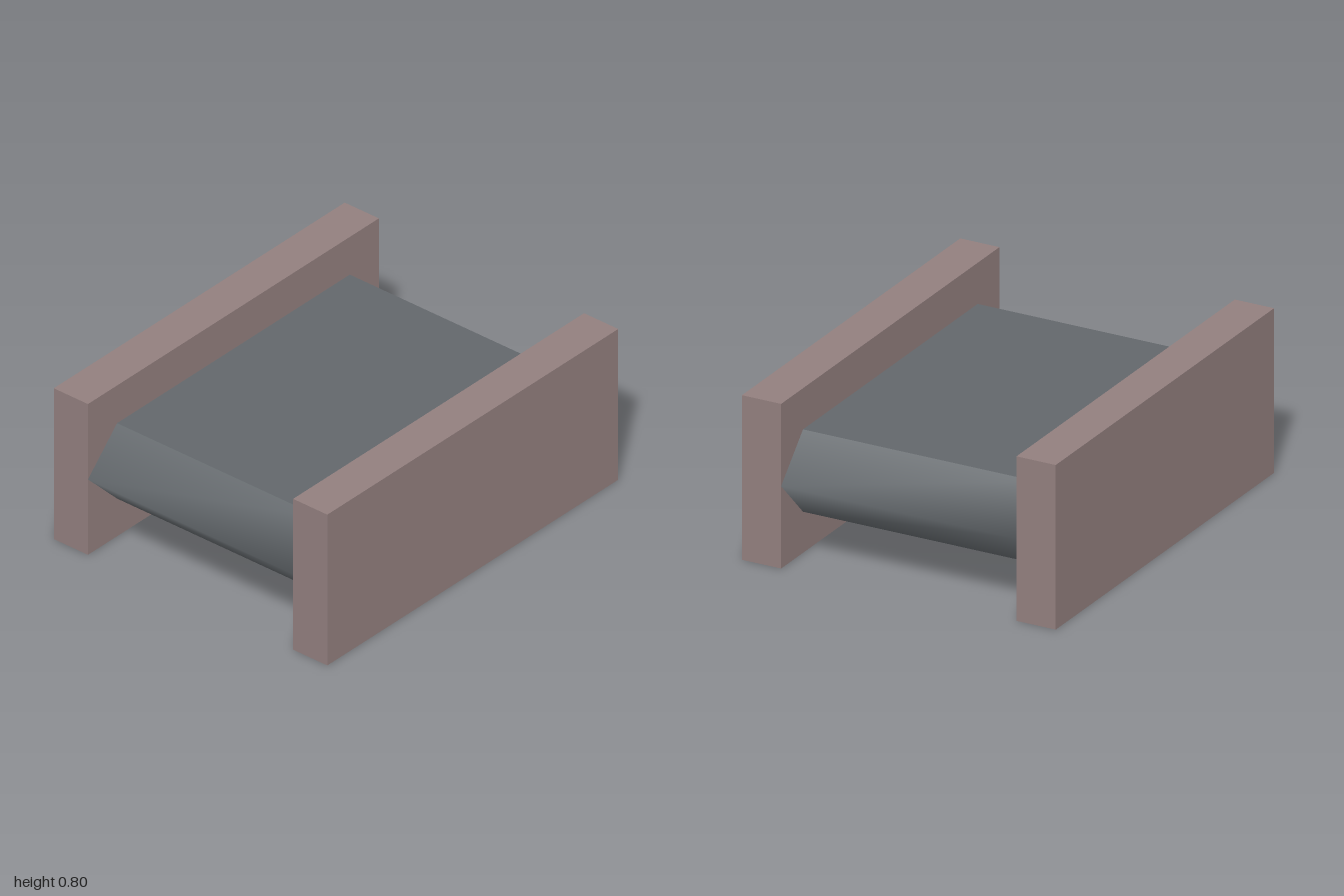
import * as THREE from 'three';

const slate = new THREE.MeshStandardMaterial({ color: 0x62676b });
slate.name = 'slate grey';
const mauve = new THREE.MeshStandardMaterial({ color: 0x927f7e });
mauve.name = 'dusty mauve';

function box(name, material, size, position) {
  const mesh = new THREE.Mesh(new THREE.BoxGeometry(...size), material);
  mesh.position.set(...position);
  mesh.name = name;
  return mesh;
}

// Pointed end of the slab: two slopes meeting at a softly shaded ridge
function noseGeometry(halfWidth, halfHeight, depth) {
  const positions = [];
  for (const [y, z] of [[halfHeight, 0], [0, depth], [-halfHeight, 0]]) {
    positions.push(-halfWidth, y, z, halfWidth, y, z);
  }
  const geometry = new THREE.BufferGeometry();
  geometry.setAttribute('position', new THREE.Float32BufferAttribute(positions, 3));
  const index = [];
  for (const a of [0, 2]) index.push(a, a + 2, a + 1, a + 1, a + 2, a + 3);
  geometry.setIndex(index);
  geometry.computeVertexNormals();
  return geometry;
}

export function createModel() {
  const model = new THREE.Group();
  model.name = 'slab between side panels';

  // Central slab
  model.add(box('centralSlab', slate, [1.2, 0.4, 1.6], [0, 0.4, 0]));

  // Front and back noses
  const nose = noseGeometry(0.6, 0.2, 0.2);
  for (const side of [1, -1]) {
    const end = new THREE.Mesh(nose, slate);
    end.position.set(0, 0.4, side * 0.8);
    end.rotation.y = side > 0 ? 0 : Math.PI;
    end.name = side > 0 ? 'frontNose' : 'backNose';
    model.add(end);
  }

  // Tall side panels
  for (const side of [1, -1]) {
    const name = side > 0 ? 'leftPanel' : 'rightPanel';
    model.add(box(name, mauve, [0.2, 0.8, 2], [side * 0.7, 0.4, 0]));
  }
  return model;
}
